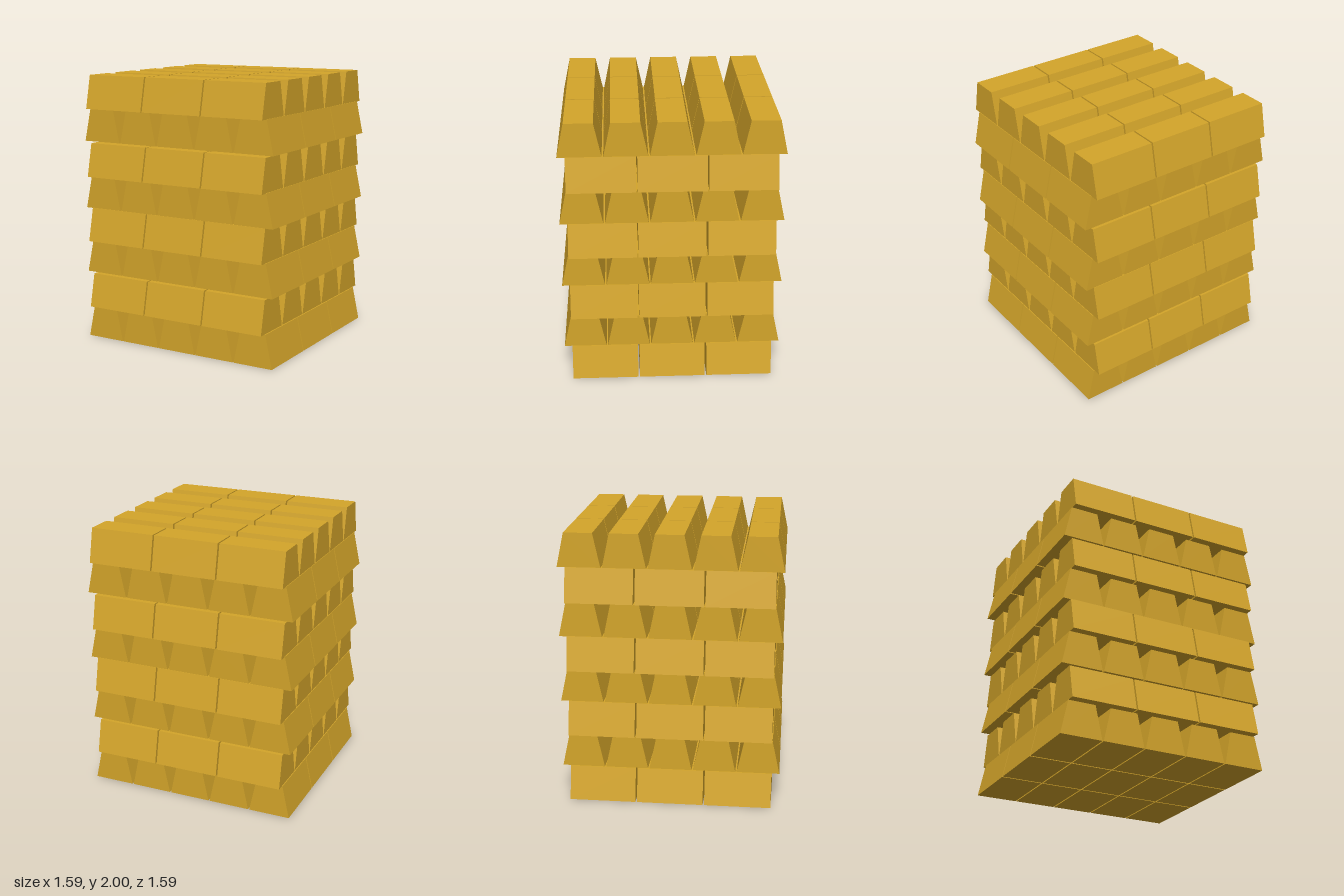
import * as THREE from 'three';

const HEIGHT = 0.247, LENGTH = 0.484;      // one bar
const BOTTOM = 0.155, TOP = 0.102;         // half widths of its section
const ROW_STEP = 0.32, END_STEP = 0.496;   // spacing across and along the bars
const LAYER_Y = [0, 0.25, 0.51, 0.758, 1.003, 1.247, 1.508, 1.753];

// Bar with a trapezoid section, length along z, standing on y = 0
function barGeometry() {
  const section = new THREE.Shape([
    new THREE.Vector2(-BOTTOM, 0),
    new THREE.Vector2(BOTTOM, 0),
    new THREE.Vector2(TOP, HEIGHT),
    new THREE.Vector2(-TOP, HEIGHT),
  ]);
  const geometry = new THREE.ExtrudeGeometry(section, { depth: LENGTH, bevelEnabled: false });
  return geometry.translate(0, 0, -LENGTH / 2);
}

export function createModel() {
  const model = new THREE.Group();
  model.name = 'barStack';
  const geometry = barGeometry();
  const gold = new THREE.MeshStandardMaterial({ color: 0xd4a52a, flatShading: true });

  // Layers of five by three bars, each turned a quarter from the one below
  LAYER_Y.forEach((y, i) => {
    const layer = new THREE.Group();
    layer.name = `layer${i + 1}`;
    layer.position.y = y;
    if (i % 2) layer.rotation.y = Math.PI / 2;
    for (let row = -2; row <= 2; row++) {
      for (let col = -1; col <= 1; col++) {
        const bar = new THREE.Mesh(geometry, gold);
        bar.name = 'bar';
        bar.position.set(row * ROW_STEP, 0, col * END_STEP);
        layer.add(bar);
      }
    }
    model.add(layer);
  });
  return model;
}
